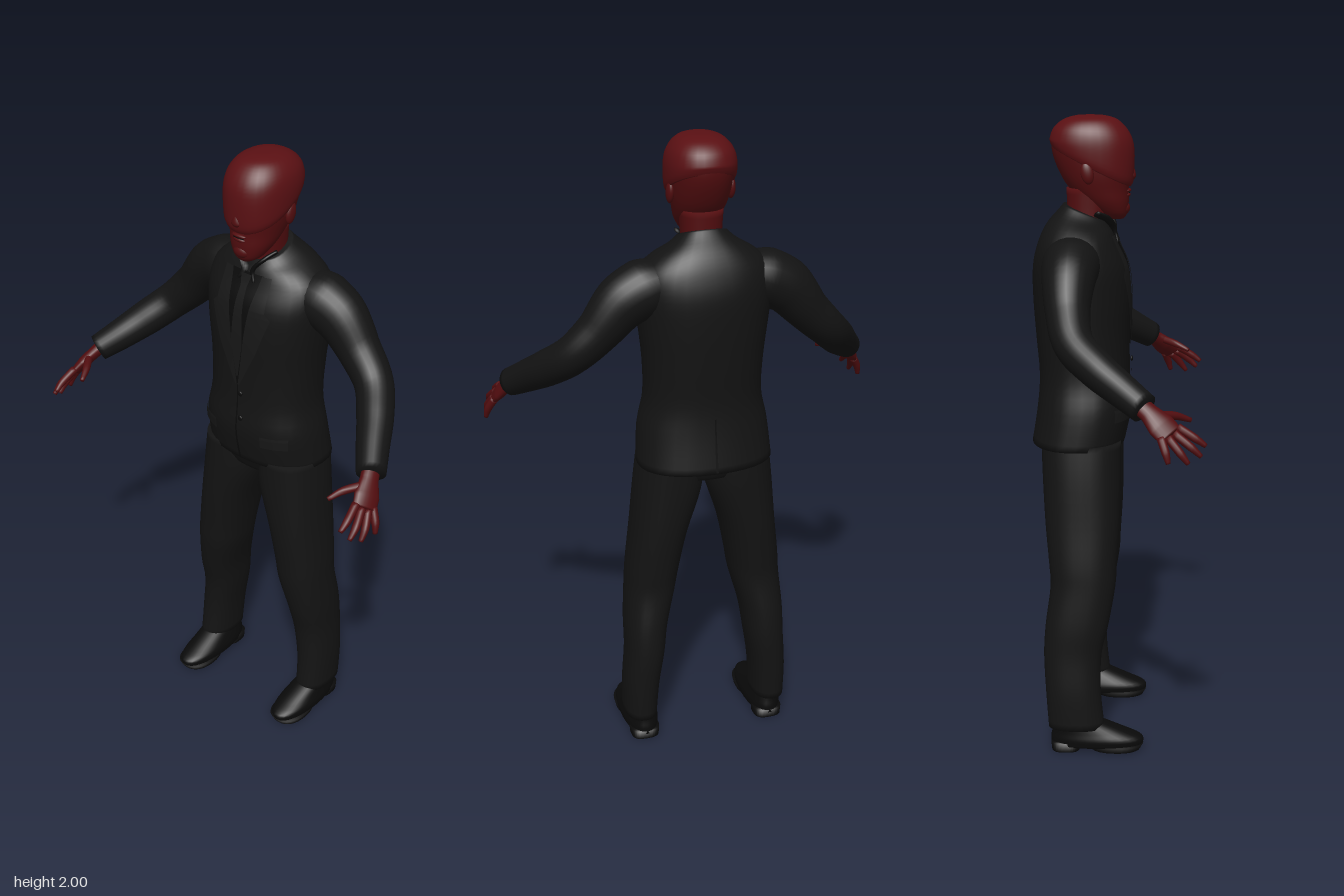
import * as THREE from 'three';

const mat = (name, color) => {
  const m = new THREE.MeshStandardMaterial({ color });
  m.name = name;
  return m;
};
const SEG = 32;
const V = (x, y, z) => new THREE.Vector3(x, y, z);

// Skin a list of closed rings (outward winding when they run counter to the path), closing both ends
function skin(rings) {
  const n = rings[0].length, pos = [], idx = [];
  const centre = r => r.reduce((s, p) => s.add(p), V(0, 0, 0)).divideScalar(n);
  const collapse = r => { const c = centre(r); return r.map(() => c); };
  const all = [collapse(rings[0]), ...rings, collapse(rings[rings.length - 1])];
  all.forEach(r => r.forEach(p => pos.push(p.x, p.y, p.z)));
  for (let i = 0; i < all.length - 1; i++) {
    for (let j = 0; j < n; j++) {
      const k = (j + 1) % n, a = i * n + j, b = i * n + k, c = a + n, d = b + n;
      idx.push(a, c, b, b, c, d);
    }
  }
  const g = new THREE.BufferGeometry();
  g.setAttribute('position', new THREE.Float32BufferAttribute(pos, 3));
  g.setIndex(idx);
  g.computeVertexNormals();
  return g;
}

// Smooth a list of key rows [y, cx, cz, rx, rz, tilt]
function smoothRows(keys, steps = 4) {
  const rows = [];
  const cr = (a, b, c, d, t) => 0.5 * (2 * b + (c - a) * t + (2 * a - 5 * b + 4 * c - d) * t * t + (3 * b - a - 3 * c + d) * t * t * t);
  for (let i = 0; i < keys.length - 1; i++) {
    const k = [i - 1, i, i + 1, i + 2].map(q => keys[Math.min(Math.max(q, 0), keys.length - 1)]);
    for (let s = 0; s < steps; s++) {
      rows.push([0, 1, 2, 3, 4, 5].map(c => cr(...k.map(r => r[c] || 0), s / steps)));
    }
  }
  rows.push([0, 1, 2, 3, 4, 5].map(c => keys[keys.length - 1][c] || 0));
  return rows;
}

// Horizontal superellipse rings stacked upward
function loft(rows, n = 2.3) {
  const pw = v => Math.sign(v) * Math.abs(v) ** (2 / n);
  return skin(rows.map(([y, cx, cz, rx, rz, tilt]) => Array.from({ length: SEG }, (_, j) => {
    const a = j / SEG * Math.PI * 2, dz = rz * pw(Math.sin(a));
    return V(cx + rx * pw(Math.cos(a)), y - tilt * dz, cz + dz);
  })));
}

// Elliptical limb along a path; each key is [x, y, z, radius along ref, other radius]
function limb(keys, ref, steps = 24, seg = 20) {
  const curve = new THREE.CatmullRomCurve3(keys.map(k => V(k[0], k[1], k[2])));
  const rings = [];
  for (let i = 0; i <= steps; i++) {
    const t = i / steps, f = t * (keys.length - 1), k = Math.min(Math.floor(f), keys.length - 2);
    const r = c => THREE.MathUtils.lerp(keys[k][c], keys[k + 1][c], f - k);
    const T = curve.getTangent(t), p = curve.getPoint(t);
    const N = ref.clone().addScaledVector(T, -ref.dot(T)).normalize();
    const B = N.clone().cross(T);
    rings.push(Array.from({ length: seg }, (_, j) => {
      const a = j / seg * Math.PI * 2;
      return p.clone().addScaledVector(N, Math.cos(a) * r(3)).addScaledVector(B, Math.sin(a) * r(4));
    }));
  }
  return skin(rings);
}

// Thin plate following a loft surface; keys are [y, x0, x1] from low to high, side 1 front, -1 back
function patch(rows, keys, off, side = 1, n = 2.3) {
  const surf = (x, y) => {
    let i = 0;
    while (i < rows.length - 2 && rows[i + 1][0] < y) i++;
    const t = (y - rows[i][0]) / (rows[i + 1][0] - rows[i][0]);
    const [, cx, cz, rx, rz] = rows[i].map((v, c) => THREE.MathUtils.lerp(v, rows[i + 1][c], t));
    return cz + side * (rz * Math.max(0, 1 - Math.abs((x - cx) / rx) ** n) ** (1 / n) + off);
  };
  const g = new THREE.PlaneGeometry(1, 1, 8, 24), p = g.attributes.position;
  for (let i = 0; i < p.count; i++) {
    const u = p.getX(i) * side + 0.5, f = (p.getY(i) + 0.5) * (keys.length - 1);
    const k = Math.min(Math.floor(f), keys.length - 2);
    const [y, a, b] = keys[k].map((v, c) => THREE.MathUtils.lerp(v, keys[k + 1][c], f - k));
    const x = THREE.MathUtils.lerp(a, b, u);
    p.setXYZ(i, x, y, surf(x, y));
  }
  g.computeVertexNormals();
  return g;
}

export function createModel() {
  const model = new THREE.Group();
  const suit = mat('suit cloth', 0x131313), trim = mat('lapel cloth', 0x171717);
  const black = mat('black', 0x0a0a0a), skinM = mat('skin', 0x520d0f), hairM = mat('hair', 0x5a1013);
  const add = (name, geo, m) => {
    const mesh = new THREE.Mesh(geo, m);
    mesh.name = name;
    model.add(mesh);
    return mesh;
  };
  const ball = (name, m, x, y, z, rx, ry, rz) => {
    const b = add(name, new THREE.SphereGeometry(1, 20, 14), m);
    b.position.set(x, y, z);
    b.scale.set(rx, ry, rz);
    return b;
  };

  // Jacket body
  const torso = smoothRows([
    [0.985, 0, -0.12, 0.215, 0.148], [1.1, 0, -0.1, 0.205, 0.15], [1.2, 0, -0.1, 0.185, 0.143],
    [1.32, 0, -0.105, 0.187, 0.147], [1.44, 0, -0.108, 0.2, 0.152], [1.54, 0, -0.113, 0.21, 0.147],
    [1.61, 0, -0.12, 0.2, 0.125], [1.655, 0, -0.115, 0.155, 0.105, 0.1], [1.685, 0, -0.1, 0.1, 0.083, 0.3],
    [1.705, 0, -0.093, 0.074, 0.07, 0.4]]);
  add('jacket', loft(torso), suit);
  add('shirtFront', patch(torso, [[1.27, -0.004, 0.004], [1.45, -0.027, 0.027], [1.64, -0.06, 0.06]], 0.003), black);
  add('tie', patch(torso, [[1.3, -0.003, 0.003], [1.42, -0.022, 0.022], [1.6, -0.012, 0.012], [1.635, -0.02, 0.02]], 0.007), trim);
  add('jacketOpening', patch(torso, [[0.99, -0.004, 0.004], [1.27, -0.002, 0.002]], 0.004), black);
  add('backVent', patch(torso, [[0.99, -0.004, 0.004], [1.16, -0.002, 0.002]], 0.003, -1), black);
  for (const y of [1.15, 1.24]) ball('button', black, 0.012, y, 0.048, 0.009, 0.009, 0.004);

  // Trouser seat under the jacket
  add('trouserSeat', loft(smoothRows([[0.94, 0, -0.105, 0.13, 0.105], [1.0, 0, -0.105, 0.2, 0.13], [1.05, 0, -0.105, 0.19, 0.13]])), suit);

  // Neck and head
  add('neck', loft(smoothRows([[1.6, 0, -0.1, 0.062, 0.06], [1.68, 0, -0.088, 0.06, 0.064], [1.78, 0, -0.085, 0.066, 0.07]])), skinM);
  const head = smoothRows([
    [1.685, 0, 0.0, 0.022, 0.022], [1.7, 0, -0.01, 0.045, 0.043], [1.735, 0, -0.03, 0.066, 0.068],
    [1.775, 0, -0.052, 0.078, 0.09], [1.82, 0, -0.065, 0.088, 0.107], [1.88, 0, -0.077, 0.094, 0.119],
    [1.93, 0, -0.08, 0.094, 0.118], [1.97, 0, -0.08, 0.075, 0.09], [1.988, 0, -0.08, 0.04, 0.05]]);
  add('head', loft(head, 2.2), skinM);
  add('hair', loft(smoothRows([
    [1.845, 0, -0.077, 0.098, 0.122, 0.5], [1.865, 0, -0.075, 0.104, 0.129, 0.42], [1.915, 0, -0.075, 0.105, 0.13, 0.12],
    [1.955, 0, -0.077, 0.095, 0.116, 0.05], [1.985, 0, -0.08, 0.07, 0.085], [1.998, 0, -0.08, 0.035, 0.045],
    [2.0, 0, -0.08, 0.01, 0.012]]), 2.2), hairM);
  add('nose', limb([[0, 1.862, 0.035, 0.008, 0.008], [0, 1.835, 0.045, 0.011, 0.011],
    [0, 1.815, 0.048, 0.018, 0.012], [0, 1.804, 0.042, 0.01, 0.006]], V(1, 0, 0)), skinM);
  ball('upperLip', skinM, 0, 1.772, 0.036, 0.026, 0.006, 0.01);
  ball('lowerLip', skinM, 0, 1.758, 0.034, 0.022, 0.007, 0.01);
  ball('chin', skinM, 0, 1.718, 0.022, 0.03, 0.022, 0.02);
  add('mouthLine', patch(head, [[1.764, -0.022, 0.022], [1.767, -0.022, 0.022]], 0.004, 1, 2.2), black);

  for (const s of [1, -1]) {
    const side = s > 0 ? 'left' : 'right';
    const span = keys => keys.map(([y, a, b]) => s > 0 ? [y, a, b] : [y, -b, -a]);

    // Jacket front details
    add(side + 'Lapel', patch(torso, span([[1.27, 0.002, 0.008], [1.4, 0.02, 0.07], [1.52, 0.036, 0.112],
      [1.54, 0.039, 0.092], [1.64, 0.056, 0.088]]), 0.006), trim);
    add(side + 'PocketFlap', patch(torso, span([[1.07, 0.09, 0.17], [1.11, 0.09, 0.17]]), 0.007), trim);
    add(side + 'ShirtCollar', limb([[s * 0.066, 1.705, -0.06, 0.012, 0.006], [s * 0.045, 1.685, -0.025, 0.016, 0.007],
      [s * 0.014, 1.645, -0.008, 0.014, 0.006], [s * 0.03, 1.615, 0.006, 0.004, 0.004]], V(s, 1, 0.3), 16, 12), black);

    // Face details
    add(side + 'Eye', patch(head, span([[1.848, 0.028, 0.052], [1.855, 0.018, 0.066], [1.863, 0.022, 0.066]]), 0.004, 1, 2.2), black);
    ball(side + 'Brow', skinM, s * 0.042, 1.874, 0.026, 0.032, 0.009, 0.014).rotation.y = s * 0.25;
    ball(side + 'Ear', skinM, s * 0.094, 1.83, -0.085, 0.012, 0.034, 0.02).rotation.x = -0.2;

    // Sleeve and cuff
    add(side + 'Sleeve', limb([[s * 0.13, 1.575, -0.125, 0.07, 0.085], [s * 0.19, 1.56, -0.13, 0.09, 0.088],
      [s * 0.255, 1.525, -0.133, 0.086, 0.08], [s * 0.33, 1.44, -0.13, 0.068, 0.066], [s * 0.405, 1.365, -0.108, 0.06, 0.06],
      [s * 0.465, 1.305, -0.04, 0.058, 0.056], [s * 0.515, 1.255, 0.035, 0.051, 0.05],
      [s * 0.56, 1.213, 0.1, 0.044, 0.045]], V(s, 1, 0), 40, 24), suit);

    // Hand
    const across = V(s * 0.04, -0.03, -0.08);
    add(side + 'Palm', limb([[s * 0.55, 1.222, 0.085, 0.028, 0.022], [s * 0.565, 1.2, 0.115, 0.03, 0.02],
      [s * 0.583, 1.17, 0.148, 0.042, 0.019], [s * 0.596, 1.145, 0.175, 0.04, 0.014]], across), skinM);
    const fingers = {
      Index: [[0.58, 1.165, 0.195], [0.588, 1.135, 0.245], [0.587, 1.113, 0.275]],
      Middle: [[0.594, 1.15, 0.185], [0.61, 1.115, 0.233], [0.611, 1.088, 0.262]],
      Ring: [[0.604, 1.14, 0.168], [0.622, 1.1, 0.203], [0.625, 1.07, 0.226]],
      Pinky: [[0.607, 1.14, 0.148], [0.628, 1.102, 0.162], [0.635, 1.072, 0.17]],
      Thumb: [[0.562, 1.195, 0.145], [0.528, 1.185, 0.19], [0.506, 1.168, 0.232]],
    };
    for (const [name, pts] of Object.entries(fingers)) {
      const r = [0.013, 0.012, 0.007];
      add(side + name, limb(pts.map(([x, y, z], i) => [s * x, y, z, r[i], r[i]]), across, 10, 12), skinM);
    }

    // Trouser leg
    add(side + 'TrouserLeg', loft(smoothRows([
      [0.08, s * 0.222, -0.12, 0.054, 0.09], [0.2, s * 0.218, -0.13, 0.058, 0.088], [0.32, s * 0.205, -0.132, 0.063, 0.092],
      [0.42, s * 0.197, -0.118, 0.069, 0.1], [0.54, s * 0.177, -0.1, 0.08, 0.103], [0.62, s * 0.167, -0.1, 0.084, 0.108],
      [0.75, s * 0.146, -0.102, 0.09, 0.118], [0.9, s * 0.116, -0.105, 0.106, 0.124],
      [1.0, s * 0.11, -0.107, 0.1, 0.125]])), suit);

    // Shoe
    add(side + 'Shoe', loft(smoothRows([
      [0.02, s * 0.215, -0.055, 0.057, 0.148], [0.042, s * 0.215, -0.056, 0.06, 0.147], [0.066, s * 0.216, -0.08, 0.054, 0.118],
      [0.1, s * 0.22, -0.118, 0.044, 0.075]]), 2.2), black);
    add(side + 'Sole', loft([[0.004, s * 0.215, 0.005, 0.056, 0.08, 0], [0.022, s * 0.215, 0.008, 0.06, 0.087, 0]]), black);
    add(side + 'Heel', loft([[0, s * 0.215, -0.155, 0.046, 0.045, 0], [0.03, s * 0.215, -0.155, 0.048, 0.048, 0]], 3), black);
  }
  return model;
}
